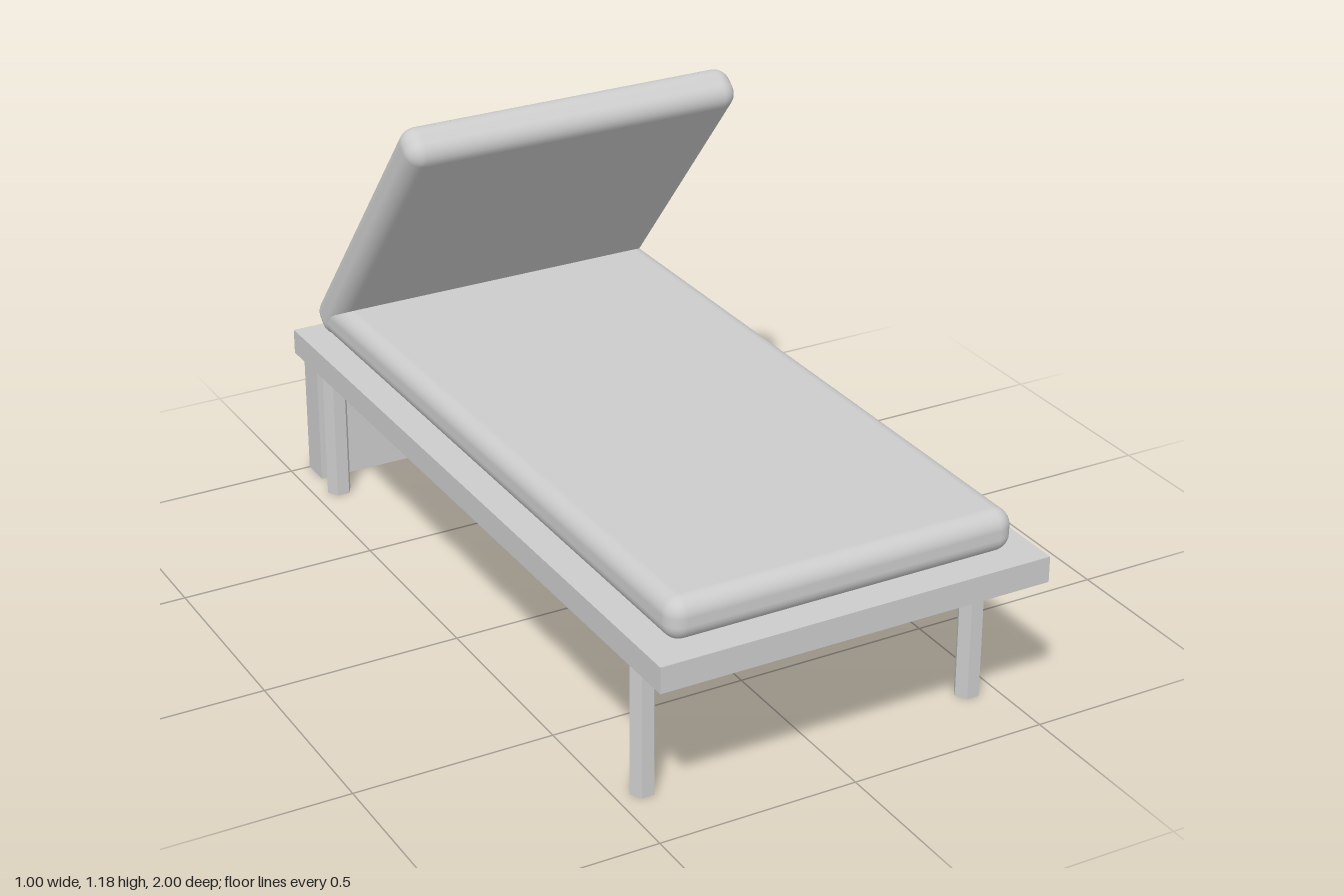
import * as THREE from 'three';
import { RoundedBoxGeometry } from 'three/addons/geometries/RoundedBoxGeometry.js';

export function createModel() {
  const group = new THREE.Group();
  const lightGrey = new THREE.MeshStandardMaterial({ color: 0xcccccc });
  lightGrey.name = 'lightGrey';

  const add = (name, geometry, x, y, z) => {
    const mesh = new THREE.Mesh(geometry, lightGrey);
    mesh.name = name;
    mesh.position.set(x, y, z);
    group.add(mesh);
    return mesh;
  };

  // Flat deck and the board standing behind it
  add('deck', new THREE.BoxGeometry(1, 0.065, 1.933), 0, 0.4075, 0.0335);
  add('headboard', new THREE.BoxGeometry(0.894, 0.4, 0.08), 0, 0.2, -0.96);

  // Soft pads: the lying surface and the raised backrest
  add('mattress', new RoundedBoxGeometry(0.888, 0.105, 1.855, 4, 0.042), 0, 0.4925, 0.0175);
  const backrest = add('backrest', new RoundedBoxGeometry(0.892, 0.105, 0.913, 4, 0.042), 0, 0.808, -0.605);
  backrest.rotation.x = -THREE.MathUtils.degToRad(50.5);

  // Six-sided legs, one vertex pointing outward
  const legGeometry = new THREE.CylinderGeometry(0.032, 0.032, 0.376, 6).toNonIndexed();
  legGeometry.rotateY(Math.PI / 2);
  legGeometry.computeVertexNormals();
  for (const [end, z] of [['front', 0.8], ['back', -0.84]]) {
    for (const [side, x] of [['Left', 0.433], ['Right', -0.433]]) {
      add(`${end}${side}Leg`, legGeometry, x, 0.188, z);
    }
  }
  return group;
}
